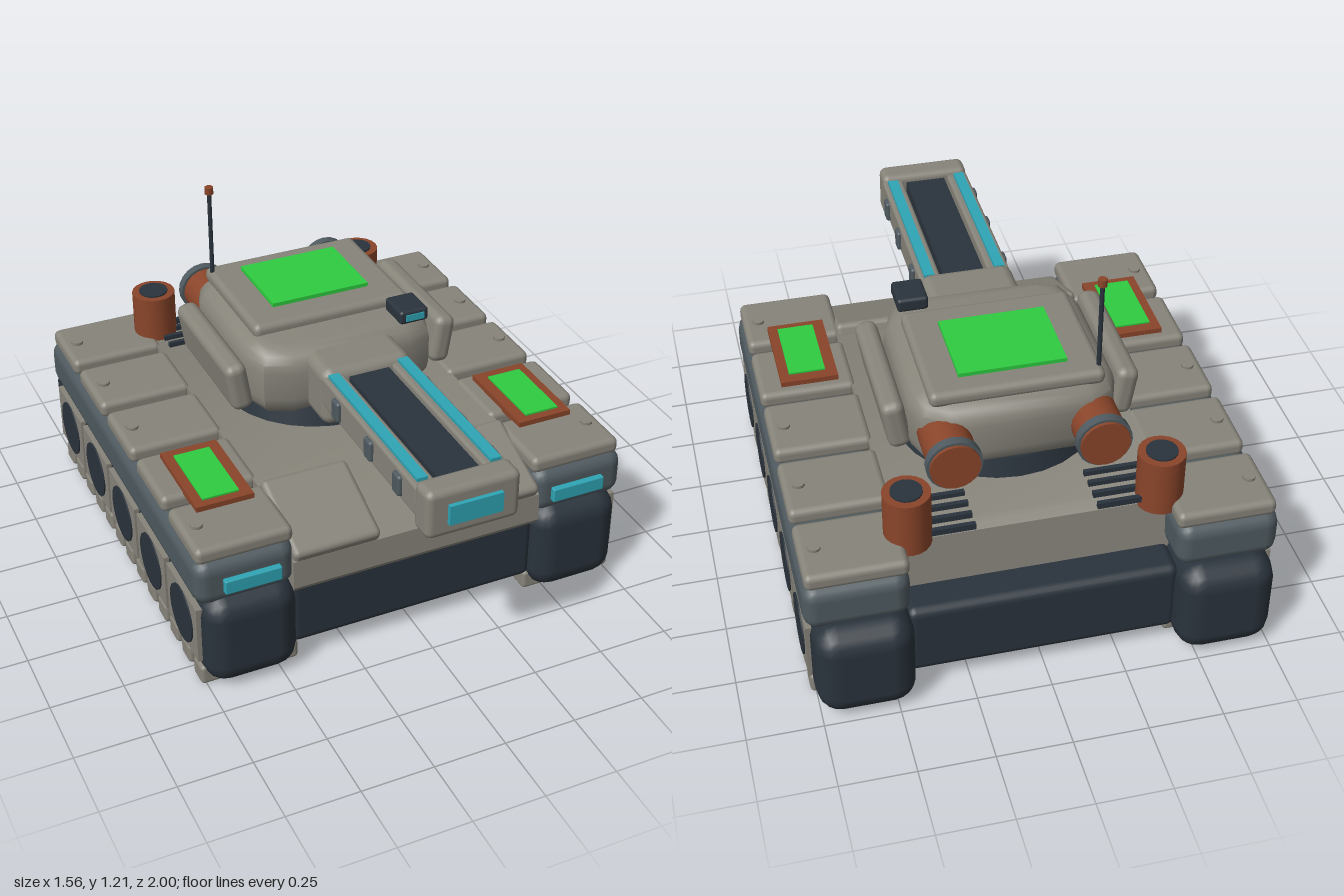
import * as THREE from 'three';
import { toCreasedNormals } from 'three/addons/utils/BufferGeometryUtils.js';
import { RoundedBoxGeometry } from 'three/addons/geometries/RoundedBoxGeometry.js';

export function createModel() {
  const model = new THREE.Group();
  model.name = 'tank';

  const material = (name, color) => {
    const m = new THREE.MeshStandardMaterial({ color });
    m.name = name;
    return m;
  };
  const armour = material('armour grey', 0x87847a);
  const dark = material('dark steel', 0x2a333c);
  const slate = material('slate', 0x4f5a60);
  const rust = material('rust', 0x8a452a);
  const cyan = material('cyan light', 0x2fa5b5);
  const green = material('green panel', 0x2ecc40);

  const add = (name, geometry, mat, x = 0, y = 0, z = 0) => {
    const mesh = new THREE.Mesh(geometry, mat);
    mesh.name = name;
    mesh.position.set(x, y, z);
    model.add(mesh);
    return mesh;
  };
  // Box given by its limits; r > 0 rounds the edges
  const box = (name, mat, [x0, x1], [y0, y1], [z0, z1], r = 0) => {
    const w = x1 - x0, h = y1 - y0, d = z1 - z0;
    const geometry = r ? new RoundedBoxGeometry(w, h, d, 2, r) : new THREE.BoxGeometry(w, h, d);
    return add(name, geometry, mat, (x0 + x1) / 2, (y0 + y1) / 2, (z0 + z1) / 2);
  };
  const cylinder = (name, mat, r, h, x, y, z, sides = 20) =>
    add(name, new THREE.CylinderGeometry(r, r, h, sides), mat, x, y, z);
  // Box on one side, with x limits mirrored by s
  const sideBox = (s, name, mat, [x0, x1], ys, zs, r) =>
    box(name, mat, s > 0 ? [x0, x1] : [-x1, -x0], ys, zs, r);

  // Hull: dark lower tub and grey upper body with a sloping nose
  box('lowerHull', dark, [-0.45, 0.45], [0.065, 0.33], [-0.9, 0.61], 0.03);
  const profile = new THREE.Shape([
    [-0.78, 0.29], [0.61, 0.29], [0.635, 0.32], [0.63, 0.42], [0.35, 0.535],
    [-0.72, 0.535], [-0.76, 0.51],
  ].map(([z, y]) => new THREE.Vector2(z, y)));
  const hull = new THREE.ExtrudeGeometry(profile, { depth: 0.9, bevelEnabled: false });
  hull.translate(0, 0, -0.45).rotateY(-Math.PI / 2);
  add('upperHull', toCreasedNormals(hull, 0.6), armour);

  for (const s of [1, -1]) {
    // Tracks
    sideBox(s, 'track', dark, [0.435, 0.76], [0.015, 0.36], [-1, 0.67], 0.08);
    for (let i = 0; i < 13; i++) {
      const z = 0.565 - i * 0.1147;
      sideBox(s, 'trackPad', armour, [0.425, 0.768], [0.003, 0.075], [z - 0.04, z + 0.04], 0.014);
    }
    for (let i = 0; i < 5; i++) {
      const z = 0.46 - i * 0.2975;
      sideBox(s, 'wheelPlate', armour, [0.74, 0.774], [0.1, 0.31], [z - 0.137, z + 0.137]);
      cylinder('wheel', dark, 0.101, 0.06, s * 0.749, 0.204, z, 18).rotation.z = Math.PI / 2;
    }

    // Fenders with bolted top tiles
    sideBox(s, 'fender', slate, [0.435, 0.78], [0.33, 0.5], [-0.915, 0.63], 0.05);
    for (let i = 0; i < 5; i++) {
      const z = 0.475 - i * 0.309;
      sideBox(s, 'fenderTile', armour, [0.435, 0.768], [0.485, 0.545], [z - 0.133, z + 0.133], 0.022);
      if (i !== 1) cylinder('bolt', armour, 0.022, 0.02, s * 0.715, 0.545, z, 10);
    }
    sideBox(s, 'panelFrame', rust, [0.49, 0.69], [0.54, 0.564], [0.07, 0.41]);
    sideBox(s, 'fenderPanel', green, [0.53, 0.657], [0.562, 0.57], [0.11, 0.38]);
    sideBox(s, 'headlight', cyan, [0.495, 0.69], [0.385, 0.437], [0.628, 0.652], 0.005);

    // Sloping nose plates
    sideBox(s, 'nosePlate', armour, [0.14, 0.448], [0.46, 0.515], [0.335, 0.645], 0.02).rotation.x = 0.38;

    // Exhaust stacks, rear thrusters and engine grilles
    cylinder('exhaustStack', rust, 0.078, 0.2, s * 0.415, 0.603, -0.745);
    cylinder('exhaustOpening', dark, 0.052, 0.012, s * 0.415, 0.703, -0.745);
    cylinder('rearThruster', rust, 0.083, 0.2, s * 0.245, 0.72, -0.592).rotation.x = Math.PI / 2;
    cylinder('thrusterRing', slate, 0.092, 0.032, s * 0.245, 0.72, -0.665).rotation.x = Math.PI / 2;
    for (let i = 0; i < 4; i++) {
      const z = -0.77 + i * 0.053;
      sideBox(s, 'grilleBar', dark, [0.2, 0.41], [0.53, 0.552], [z - 0.008, z + 0.008]);
    }

    // Turret cheek armour, leaning outward
    sideBox(s, 'turretCheek', armour, [0.345, 0.422], [0.628, 0.808], [-0.455, 0.045], 0.03).rotation.z = -s * 0.16;

    // Gun rails
    sideBox(s, 'gunRail', armour, [0.085, 0.162], [0.7, 0.808], [0.2, 0.91], 0.012);
    sideBox(s, 'railLight', cyan, [0.108, 0.145], [0.8, 0.82], [0.23, 0.88]);
    for (const z of [0.34, 0.585, 0.79])
      sideBox(s, 'railClip', slate, [0.14, 0.176], [0.715, 0.79], [z - 0.025, z + 0.025], 0.01);
  }

  // Turret ring and body
  add('turretRing', new THREE.CylinderGeometry(0.33, 0.35, 0.075, 28), dark, 0, 0.565, -0.22);
  const plan = new THREE.Shape([
    [-0.2, 0.03], [0.2, 0.03], [0.245, 0.01], [0.265, -0.05], [0.265, -0.43], [0.25, -0.47],
    [0.21, -0.495], [-0.21, -0.495], [-0.25, -0.47], [-0.265, -0.43], [-0.265, -0.05], [-0.245, 0.01],
  ].map(([x, z]) => new THREE.Vector2(x, -z)));
  const turret = new THREE.ExtrudeGeometry(plan, {
    depth: 0.1, bevelThickness: 0.08, bevelSize: 0.08, bevelSegments: 4,
  });
  turret.rotateX(-Math.PI / 2).translate(0, 0.67, 0);
  add('turretBody', toCreasedNormals(turret, 0.7), armour);
  box('turretRoof', armour, [-0.29, 0.29], [0.83, 0.885], [-0.53, -0.05], 0.024);
  box('roofPanel', green, [-0.18, 0.18], [0.88, 0.899], [-0.45, -0.155]);

  // Gun
  box('mantlet', armour, [-0.165, 0.165], [0.615, 0.83], [0.04, 0.24], 0.04);
  box('gunCore', dark, [-0.073, 0.073], [0.68, 0.8], [0.2, 0.93]);
  for (const s of [1, -1])
    sideBox(s, 'railUnderside', dark, [0.07, 0.14], [0.68, 0.705], [0.2, 0.91]);
  box('muzzle', armour, [-0.162, 0.162], [0.655, 0.828], [0.888, 0.985], 0.025);
  box('muzzleLight', cyan, [-0.092, 0.092], [0.708, 0.778], [0.98, 1]);

  // Roof sight
  box('sight', dark, [0.183, 0.29], [0.857, 0.907], [-0.025, 0.1], 0.012);
  box('sightLens', cyan, [0.203, 0.272], [0.87, 0.894], [0.098, 0.104]);

  // Antenna
  cylinder('antenna', dark, 0.008, 0.34, -0.275, 1.03, -0.485, 8);
  cylinder('antennaTip', rust, 0.016, 0.025, -0.275, 1.202, -0.485, 8);

  return model;
}
